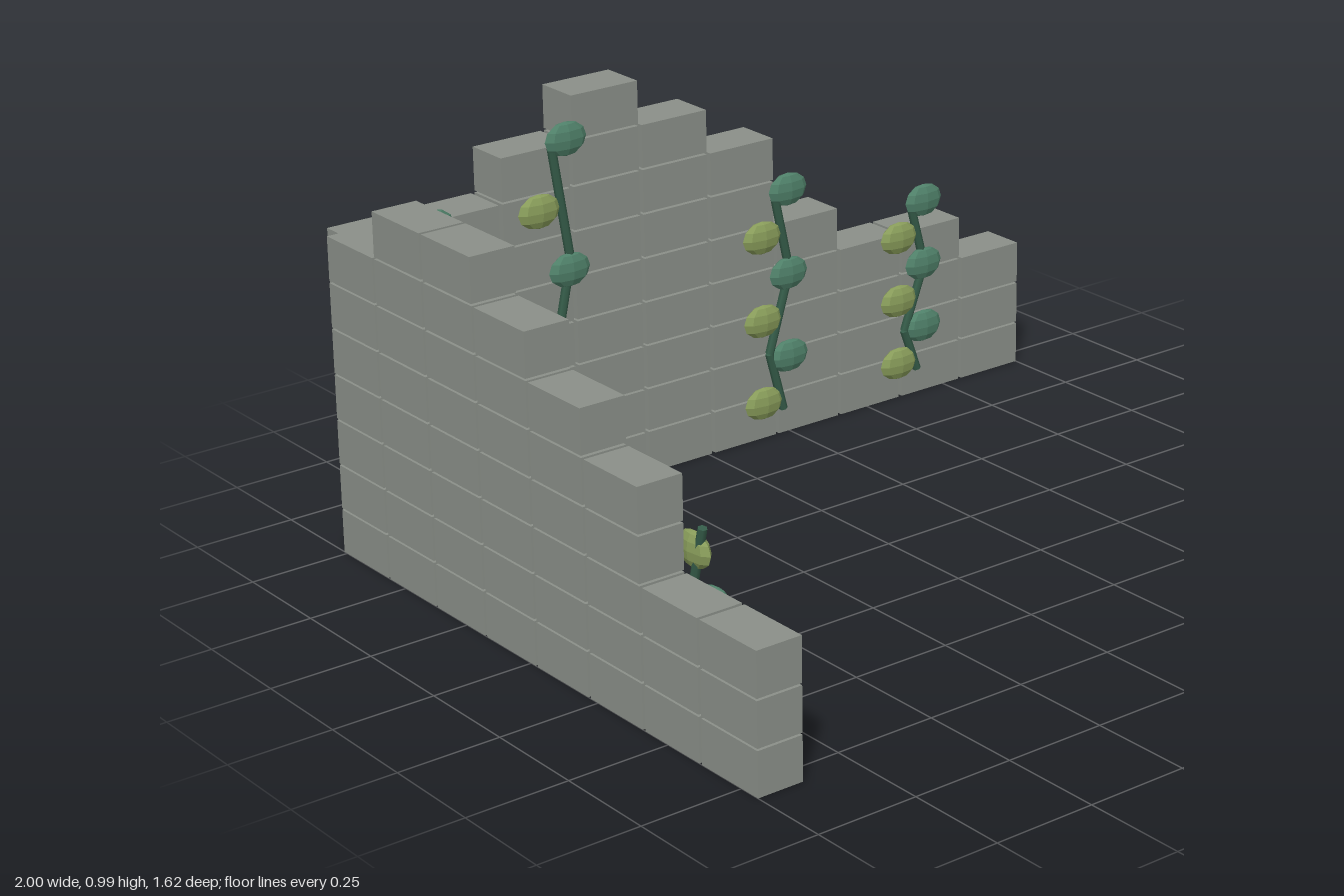
import * as THREE from 'three';

const stone = new THREE.MeshStandardMaterial({ color: 0x8a8f88 });
stone.name = 'grey stone';
const darkLeaf = new THREE.MeshStandardMaterial({ color: 0x4f8069 });
darkLeaf.name = 'blue green leaf';
const lightLeaf = new THREE.MeshStandardMaterial({ color: 0x889c5a });
lightLeaf.name = 'olive leaf';
const bark = new THREE.MeshStandardMaterial({ color: 0x355c49 });
bark.name = 'dark green stem';
// faceted leaves
const leafGeometry = new THREE.SphereGeometry(1, 8, 6).toNonIndexed();
leafGeometry.computeVertexNormals();

const ROW = 0.111, BRICK_HEIGHT = 0.106, BRICK_LENGTH = 0.188, PITCH = 0.198, DEPTH = 0.115;

// Stepped wall along local +x: one number of courses per column, first brick starting at 0
function buildWall(name, courses, pitch) {
  const wall = new THREE.Group();
  wall.name = name;
  const brick = new THREE.BoxGeometry(BRICK_LENGTH, BRICK_HEIGHT, DEPTH);
  courses.forEach((count, column) => {
    for (let row = 0; row < count; row++) {
      const mesh = new THREE.Mesh(brick, stone);
      mesh.name = 'brick';
      mesh.position.set(BRICK_LENGTH / 2 + column * pitch, BRICK_HEIGHT / 2 + row * ROW, 0);
      wall.add(mesh);
    }
  });
  return wall;
}

// Vine in the local xy plane: a kinked stem with leaves alternating from side to side
function buildVine(name, stemPoints, leaves) {
  const vine = new THREE.Group();
  vine.name = name;
  const up = new THREE.Vector3(0, 1, 0);
  for (let i = 0; i < stemPoints.length - 1; i++) {
    const a = new THREE.Vector3(...stemPoints[i], 0);
    const b = new THREE.Vector3(...stemPoints[i + 1], 0);
    const direction = b.clone().sub(a);
    const stem = new THREE.Mesh(new THREE.CylinderGeometry(0.011, 0.011, direction.length(), 6), bark);
    stem.name = 'stem';
    stem.position.copy(a).add(b).multiplyScalar(0.5);
    stem.quaternion.setFromUnitVectors(up, direction.normalize());
    vine.add(stem);
  }
  for (const [x, y, material] of leaves) {
    const leaf = new THREE.Mesh(leafGeometry, material);
    leaf.name = 'leaf';
    leaf.position.set(x, y, 0.004);
    leaf.scale.set(0.058, 0.042, 0.02);
    vine.add(leaf);
  }
  return vine;
}

export function createModel() {
  const model = new THREE.Group();
  model.name = 'ruinedCornerWall';

  const backWall = buildWall('backWall', [7, 7, 8, 9, 8, 7, 5, 4, 4, 3], PITCH);
  backWall.position.set(-0.97, 0, -0.7525);
  model.add(backWall);

  // local +x runs towards the back
  const sideWall = buildWall('sideWall', [3, 3, 5, 6, 7, 8, 8, 7], 0.197);
  sideWall.rotation.y = Math.PI / 2;
  sideWall.position.set(-0.9425, 0, 0.805);
  model.add(sideWall);

  // vines on the back wall: centre x and height of the top leaf
  for (const [x, top] of [[-0.815, 0.765], [-0.445, 0.9], [0.2, 0.64], [0.63, 0.52]]) {
    const leaves = [];
    for (let i = 0; i < 6; i++) {
      const odd = i % 2;
      leaves.push([odd ? 0.04 : -0.04, 0.1 + (top - 0.1) * i / 5, odd ? darkLeaf : lightLeaf]);
    }
    const stem = [[0.023, 0.07], [-0.018, top * 0.35], [0.046, top * 0.67], [0, top]];
    const vine = buildVine('backVine', stem, leaves);
    vine.position.set(x, 0, -0.683);
    model.add(vine);
  }

  // vines on the side wall: centre z, height of the top leaf and of the stem tip
  for (const [z, top, tip] of [[0.46, 0.38, 0.44], [-0.06, 0.575, 0.665], [-0.5, 0.655, 0.775]]) {
    const leaves = [];
    for (let i = 0; i < 4; i++) {
      const odd = i % 2;
      leaves.push([odd ? 0.036 : -0.036, 0.075 + (top - 0.075) * i / 3, odd ? lightLeaf : darkLeaf]);
    }
    const vine = buildVine('sideVine', [[-0.018, 0.06], [0.045, tip * 0.6], [0, tip]], leaves);
    vine.rotation.y = Math.PI / 2;
    vine.position.set(-0.872, 0, z);
    model.add(vine);
  }
  return model;
}
